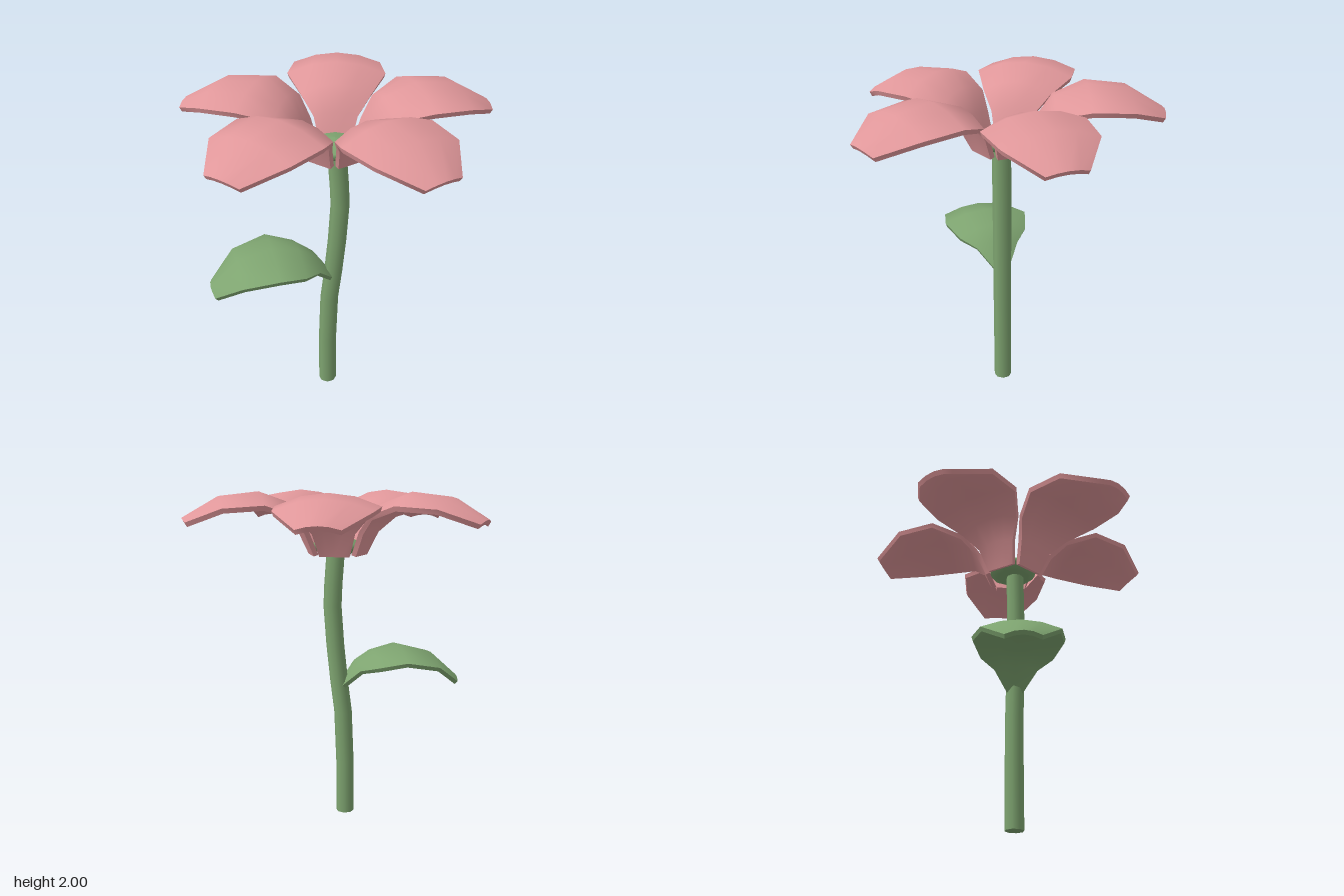
import * as THREE from 'three';
import { toCreasedNormals } from 'three/addons/utils/BufferGeometryUtils.js';

const pink = new THREE.MeshStandardMaterial({ color: 0xe0979a });
pink.name = 'petalPink';
const green = new THREE.MeshStandardMaterial({ color: 0x7ea470 });
green.name = 'stemGreen';

// Arched blade lofted along +z; each station is [distance, ridge height, half width, edge droop]
function blade(stations, thickness) {
  const across = [-1, -0.5, 0, 0.5, 1];
  const n = across.length * 2;
  const last = stations.length - 1;
  const pos = [], index = [];
  stations.forEach(([r, y, half, droop], i) => {
    const a = stations[Math.max(i - 1, 0)], b = stations[Math.min(i + 1, last)];
    const len = Math.hypot(b[0] - a[0], b[1] - a[1]);
    const nr = -(b[1] - a[1]) / len * thickness, ny = (b[0] - a[0]) / len * thickness;
    const round = i === last ? 0.015 : 0;
    for (const u of across) pos.push(u * half, y - droop * u * u, r - round * u * u);
    for (const u of [...across].reverse()) {
      pos.push(u * half * 0.97, y - droop * u * u - ny, r - round * u * u - nr);
    }
  });
  for (let i = 0; i < last; i++) {
    for (let j = 0; j < n; j++) {
      const a = i * n + j, b = i * n + (j + 1) % n;
      index.push(a, a + n, b, b, a + n, b + n);
    }
  }
  // End caps
  const e = last * n;
  for (let j = 0; j < across.length - 1; j++) {
    const p = j, q = j + 1, s = n - 2 - j, t = n - 1 - j;
    index.push(p, q, s, p, s, t, e + p, e + s, e + q, e + p, e + t, e + s);
  }
  const geo = new THREE.BufferGeometry();
  geo.setAttribute('position', new THREE.Float32BufferAttribute(pos, 3));
  geo.setIndex(index);
  return toCreasedNormals(geo, 1.0);
}

// Gently bent stem: [height, x] levels
function stemGeometry() {
  const levels = [[0, -0.05], [0.33, -0.049], [0.66, -0.036], [0.85, -0.012],
    [1.08, 0.012], [1.32, 0.029], [1.45, 0.024], [1.67, 0.008]];
  const rows = levels.length - 1;
  const geo = new THREE.CylinderGeometry(0.055, 0.055, 1, 8, rows);
  const p = geo.attributes.position;
  for (let i = 0; i < p.count; i++) {
    const [y, x] = levels[Math.round((p.getY(i) + 0.5) * rows)];
    p.setXYZ(i, p.getX(i) + x, y, p.getZ(i) + 0.056);
  }
  return geo;
}

export function createModel() {
  const model = new THREE.Group();
  model.name = 'flower';
  const add = (name, geo, mat, parent = model) => {
    const mesh = new THREE.Mesh(geo, mat);
    mesh.name = name;
    parent.add(mesh);
    return mesh;
  };

  add('stem', stemGeometry(), green);

  // Flower head: five petals flaring from a funnel
  const head = new THREE.Group();
  head.name = 'flowerHead';
  head.position.z = 0.045;
  model.add(head);
  const petalGeo = blade([
    [0.13, 1.64, 0.09, 0],
    [0.19, 1.80, 0.125, 0.025],
    [0.28, 1.935, 0.2, 0.065],
    [0.46, 2.0, 0.287, 0.07],
    [0.69, 1.975, 0.262, 0.06],
    [0.9, 1.855, 0.115, 0.02],
  ], 0.028);
  for (let k = 0; k < 5; k++) {
    add('petal' + (k + 1), petalGeo, pink, head).rotation.y = Math.PI + k * Math.PI * 0.4;
  }

  // Low domed centre
  const dome = [[0, 1.64], [0.1, 1.64], [0.15, 1.67], [0.145, 1.7], [0.09, 1.725], [0, 1.735]]
    .map(([r, y]) => new THREE.Vector2(r, y));
  add('flowerCentre', new THREE.LatheGeometry(dome, 10), green, head);

  // Leaf arching out from the stem
  const leaf = add('leaf', blade([
    [0, 0.84, 0.045, 0.01],
    [0.1, 0.98, 0.13, 0.04],
    [0.2, 1.035, 0.215, 0.06],
    [0.36, 1.07, 0.265, 0.06],
    [0.57, 1.015, 0.22, 0.05],
    [0.735, 0.865, 0.1, 0.02],
  ], 0.025), green);
  leaf.position.set(-0.02, 0, 0.056);
  leaf.rotation.y = Math.atan2(-0.965, 0.262);

  return model;
}
